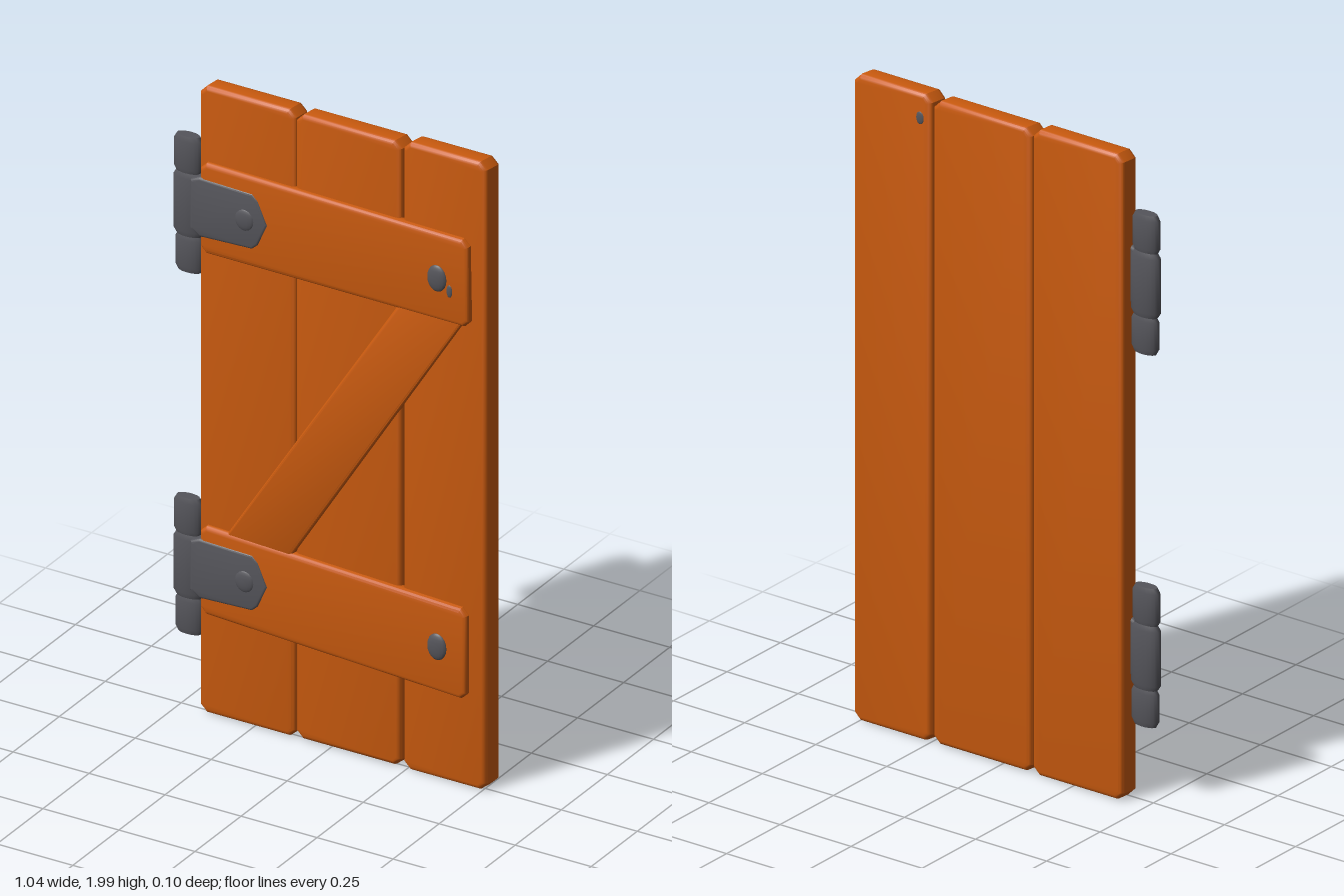
import * as THREE from 'three';
import { toCreasedNormals } from 'three/addons/utils/BufferGeometryUtils.js';

const wood = new THREE.MeshStandardMaterial({ color: 0xc95a0e });
wood.name = 'orange wood';
const iron = new THREE.MeshStandardMaterial({ color: 0x55555b });
iron.name = 'grey iron';

// Bevelled board from an outline (anticlockwise), spanning z0 to z1
function slab(name, points, z0, z1, bevel, material, lean = 0) {
  const shape = new THREE.Shape(points.map(([x, y]) => new THREE.Vector2(x, y)));
  let geo = new THREE.ExtrudeGeometry(shape, {
    depth: z1 - z0 - 2 * bevel, bevelEnabled: true, bevelSize: bevel,
    bevelThickness: bevel, bevelOffset: -bevel, bevelSegments: 3,
  });
  geo.translate(0, 0, z0 + bevel);
  // Lean the side edges so the back sits further right than the front
  const p = geo.attributes.position;
  for (let i = 0; i < p.count; i++) p.setX(i, p.getX(i) - lean * (p.getZ(i) - z0));
  geo = toCreasedNormals(geo, 0.6);
  const mesh = new THREE.Mesh(geo, material);
  mesh.name = name;
  return mesh;
}

// Board outline with clipped corners
function clipped(corners, c) {
  const out = [];
  corners.forEach(([x, y], i) => {
    for (const j of [(i + 3) % 4, (i + 1) % 4]) {
      const dx = corners[j][0] - x, dy = corners[j][1] - y, l = Math.hypot(dx, dy);
      out.push([x + dx / l * c, y + dy / l * c]);
    }
  });
  return out;
}

// Flattened rivet head
function rivet(name, x, y, z, rx, ry, rz) {
  const mesh = new THREE.Mesh(new THREE.SphereGeometry(1, 16, 10), iron);
  mesh.name = name;
  mesh.scale.set(rx, ry, rz);
  mesh.position.set(x, y, z);
  return mesh;
}

// Hinge with its origin at the middle of the strap
function hinge(name, y) {
  const g = new THREE.Group();
  g.name = name;
  // Knuckles: [bottom, top, half width, x]
  const knuckles = [[-0.23, -0.112, 0.046, -0.472], [-0.116, 0.084, 0.05, -0.474], [0.08, 0.2, 0.046, -0.476]];
  for (const [b, t, r, x] of knuckles) {
    const profile = [[0, b], [r * 0.8, b], [r, b + 0.016], [r, t - 0.016], [r * 0.8, t], [0, t]];
    const geo = toCreasedNormals(new THREE.LatheGeometry(profile.map(([a, h]) => new THREE.Vector2(a, h)), 20), 0.7);
    const mesh = new THREE.Mesh(geo, iron);
    mesh.name = 'hingeKnuckle';
    mesh.scale.z = 0.46;
    mesh.position.x = x;
    g.add(mesh);
  }
  g.add(slab('hingeStrap', [[-0.45, -0.075], [-0.42, -0.095], [-0.245, -0.088], [-0.225, -0.07],
    [-0.194, 0], [-0.225, 0.07], [-0.245, 0.09], [-0.42, 0.095], [-0.45, 0.08]], -0.012, 0.038, 0.009, iron));
  g.add(rivet('strapRivet', -0.27, 0, 0.035, 0.032, 0.035, 0.009));
  g.position.y = y;
  return g;
}

export function createModel() {
  const model = new THREE.Group();
  model.name = 'plankDoor';

  // Three upright planks: [left, right, bottom, top, lean]
  const planks = [[-0.425, -0.108, 0.008, 1.997, 0.1], [-0.104, 0.242, 0.01, 1.992, 0.17], [0.249, 0.522, 0.008, 2, 0.17]];
  planks.forEach(([l, r, b, t, lean], i) => {
    const outline = clipped([[l, b], [r, b], [r, t], [l, t]], 0.022);
    model.add(slab('plank' + (i + 1), outline, -0.048, 0.018, 0.014, wood, lean));
  });

  // Cross battens and diagonal brace
  model.add(slab('upperBatten', clipped([[-0.42, 1.475], [0.468, 1.472], [0.463, 1.748], [-0.42, 1.762]], 0.02),
    -0.005, 0.035, 0.014, wood));
  model.add(slab('lowerBatten', clipped([[-0.42, 0.33], [0.458, 0.288], [0.458, 0.575], [-0.42, 0.61]], 0.02),
    -0.005, 0.035, 0.014, wood));
  model.add(slab('diagonalBrace', [[-0.345, 0.585], [-0.13, 0.575], [0.455, 1.5], [0.24, 1.5]], -0.005, 0.03, 0.012, wood));

  // Hinges on the door's right
  model.add(hinge('upperHinge', 1.62), hinge('lowerHinge', 0.472));

  // Bolts at the free end of each batten
  model.add(rivet('upperBolt', 0.362, 1.606, 0.034, 0.032, 0.042, 0.011));
  model.add(rivet('lowerBolt', 0.362, 0.436, 0.034, 0.032, 0.042, 0.011));

  // Small nail end on the back, and chip beside the upper bolt
  model.add(rivet('backNail', 0.285, 1.925, -0.047, 0.014, 0.02, 0.004));
  model.add(rivet('boltChip', 0.403, 1.575, 0.034, 0.01, 0.02, 0.004));
  return model;
}
